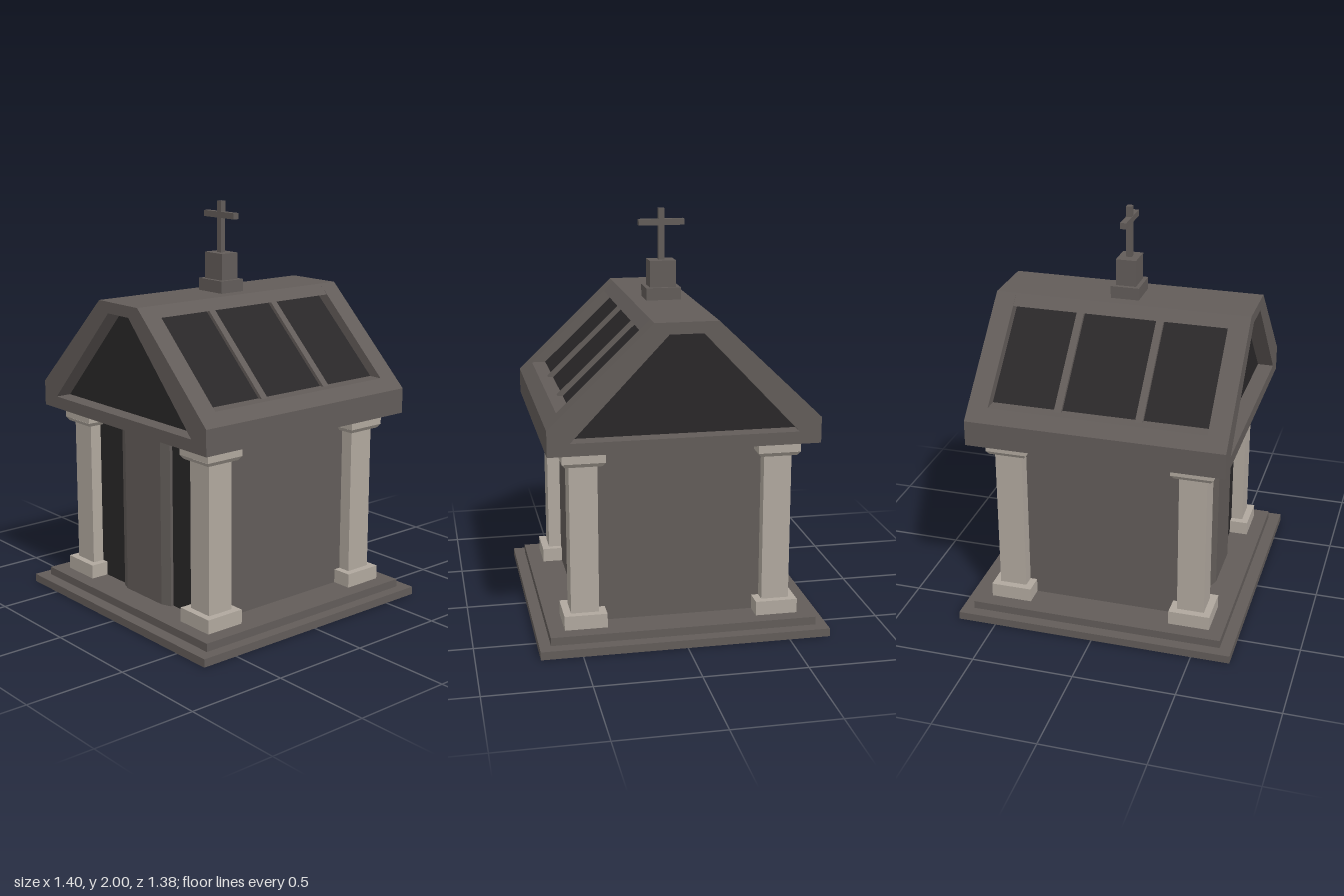
import * as THREE from 'three';

const material = (color) => new THREE.MeshStandardMaterial({ color, flatShading: true });
const stone = material(0x625c59);
const pale = material(0xb0a89e);
const dark = material(0x292728);

function add(parent, name, geometry, mat, x = 0, y = 0, z = 0) {
  const mesh = new THREE.Mesh(geometry, mat);
  mesh.name = name;
  mesh.position.set(x, y, z);
  parent.add(mesh);
  return mesh;
}

// Box given by its size, footprint centre and bottom height
function block(parent, name, mat, w, h, d, x, bottom, z) {
  return add(parent, name, new THREE.BoxGeometry(w, h, d), mat, x, bottom + h / 2, z);
}

const toPath = (points, Type = THREE.Shape) => new Type(points.map(([x, y]) => new THREE.Vector2(x, y)));
const rect = (w, h) => [[-w, -h], [w, -h], [w, h], [-w, h]];

// Straight extrusion of an outline, with an optional hole
function slab(outline, depth, hole) {
  const shape = toPath(outline);
  if (hole) shape.holes.push(toPath(hole, THREE.Path));
  return new THREE.ExtrudeGeometry(shape, { depth, bevelEnabled: false });
}

// Outline mirrored in x from its right half, listed bottom to top
const mirrored = (half) => [...half, ...half.map(([x, y]) => [-x, y]).reverse()];

function makeColumn() {
  const column = new THREE.Group();
  column.name = 'column';
  block(column, 'columnBase', pale, 0.206, 0.07, 0.204, 0, 0.08, 0);
  block(column, 'columnShaft', pale, 0.135, 0.74, 0.135, 0, 0.15, 0);
  block(column, 'capital', pale, 0.206, 0.06, 0.204, 0, 0.9, 0);
  // Tapered underside of the capital: a four-sided frustum
  const taper = new THREE.CylinderGeometry(0.103 * Math.SQRT2, 0.088 * Math.SQRT2, 0.02, 4, 1);
  taper.rotateY(Math.PI / 4);
  add(column, 'capitalTaper', taper, pale, 0, 0.89, 0);
  return column;
}

function makeRoof() {
  const roof = new THREE.Group();
  roof.name = 'roof';
  const end = 0.63, inner = 0.53;
  const eave = [0.645, 1.085], ridge = [0.15, 1.56];
  const low = 1.14, high = 1.51;

  // Middle stretch: eaves, ridge cap, and the sunken slope panels between them
  const middle = [
    ['eaves', [[0.645, 0.96], eave, [0.588, low]], stone],
    ['ridgeCap', [[0.2, high], ridge], stone],
    ['slopePanels', [[0.518, low], [0.13, high]], dark],
  ];
  for (const [name, half, mat] of middle) {
    add(roof, name, slab(mirrored(half), inner * 2), mat, 0, 0, -inner);
  }

  // Bars standing proud of both slope panels
  const barWidth = 0.036;
  for (const z of [-0.2, 0.195]) {
    add(roof, 'panelBars', slab(mirrored([[0.543, low], [0.155, high]]), barWidth), stone, 0, 0, z - barWidth / 2);
  }

  // Gable frames with dark recessed panels
  const outline = mirrored([[0.645, 0.96], eave, ridge]);
  const opening = mirrored([[0.54, 1.02], [0.08, 1.505]]);
  for (const side of [1, -1]) {
    add(roof, 'gableFrame', slab(outline, end - inner, opening), stone, 0, 0, side > 0 ? inner : -end);
    add(roof, 'gablePanel', slab(opening, 0.02), dark, 0, 0, side > 0 ? inner : -inner - 0.02);
  }
  return roof;
}

export function createModel() {
  const model = new THREE.Group();
  model.name = 'mausoleum';

  // Two base steps, hollowed below and open beneath the chamber
  const chamberHole = rect(0.46, 0.455);
  const steps = [
    ['lowerStepRim', rect(0.7, 0.69), 0, 0.03, rect(0.68, 0.67)],
    ['lowerStepTread', rect(0.7, 0.69), 0.03, 0.01, chamberHole],
    ['upperStep', rect(0.645, 0.63), 0.04, 0.04, chamberHole],
  ];
  for (const [name, outline, y, height, hole] of steps) {
    const geometry = slab(outline, height, hole);
    geometry.rotateX(-Math.PI / 2);
    add(model, name, geometry, stone, 0, y, 0);
  }

  // Hollow chamber
  for (const side of [1, -1]) {
    block(model, 'sideWall', stone, 0.02, 0.88, 0.93, side * 0.46, 0.08, 0);
  }
  block(model, 'backWall', stone, 0.93, 0.88, 0.02, 0, 0.08, -0.455);
  block(model, 'frontPanel', dark, 0.93, 0.88, 0.02, 0, 0.08, 0.455);

  // Door with chamfered edges, standing proud of the front
  const doorOutline = [[-0.19, -0.45], [-0.19, -0.48], [-0.14, -0.5], [0.14, -0.5], [0.19, -0.48], [0.19, -0.45]];
  const door = slab(doorOutline, 0.88);
  door.rotateX(-Math.PI / 2);
  add(model, 'door', door, stone, 0, 0.08, 0);

  // Corner columns
  for (const x of [-0.467, 0.467]) {
    for (const z of [-0.457, 0.457]) {
      const column = makeColumn();
      column.position.set(x, 0, z);
      model.add(column);
    }
  }

  model.add(makeRoof());

  // Stepped pedestal and cross
  const finial = new THREE.Group();
  finial.name = 'finial';
  block(finial, 'pedestalFoot', stone, 0.172, 0.06, 0.14, 0, 1.56, 0);
  block(finial, 'pedestal', stone, 0.13, 0.13, 0.1, 0, 1.62, 0);
  block(finial, 'crossPost', stone, 0.03, 0.25, 0.028, 0, 1.75, 0);
  block(finial, 'crossArm', stone, 0.225, 0.03, 0.03, 0, 1.918, 0);
  finial.position.x = -0.004;
  model.add(finial);

  return model;
}
